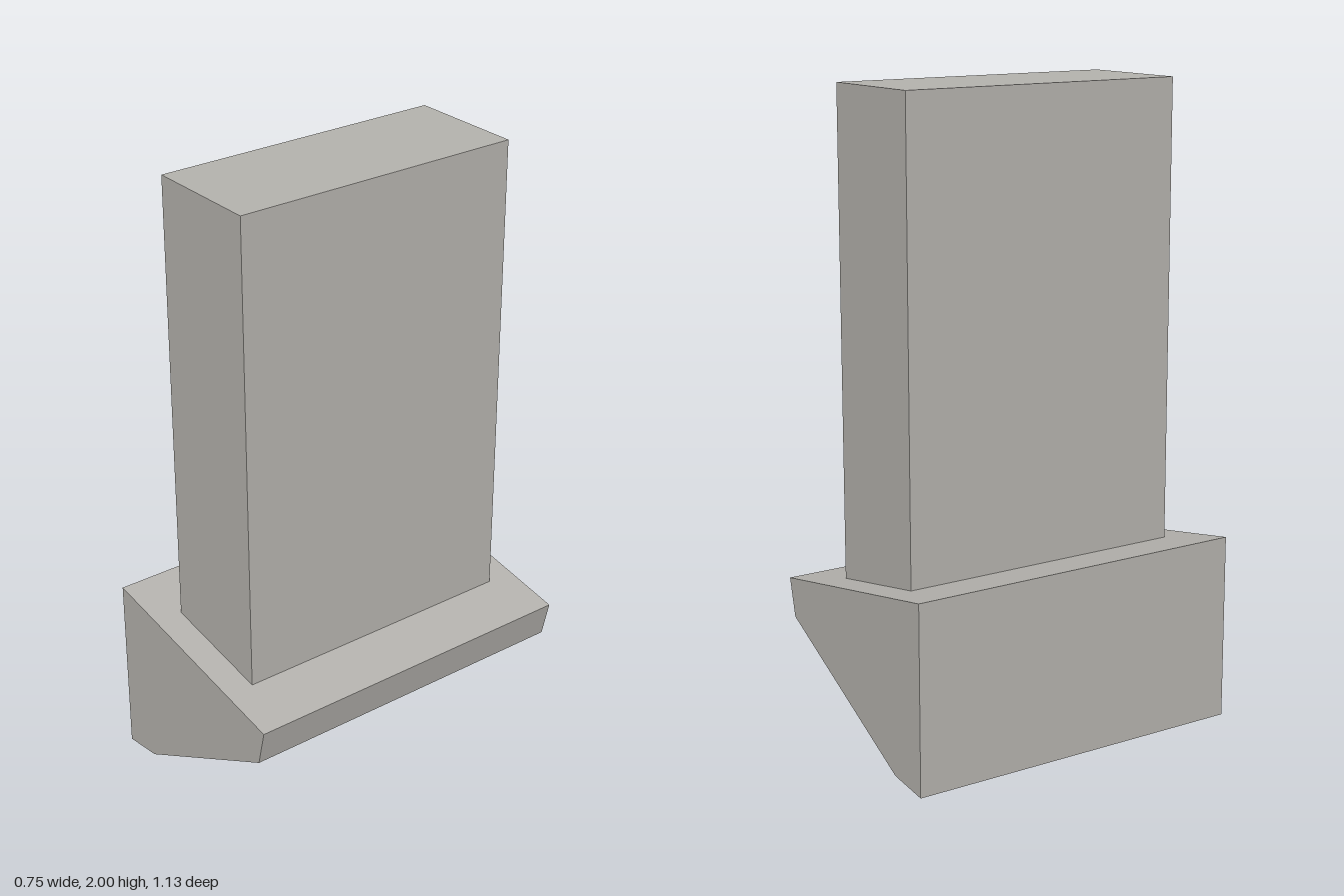
import * as THREE from 'three';

export function createModel() {
  const group = new THREE.Group();
  const stone = new THREE.MeshStandardMaterial({ color: 0xb4b2ad });
  stone.name = 'warm grey';

  // Wedge-shaped base: side profile extruded along z
  const depth = 1.13;
  const profile = new THREE.Shape([
    [-0.378, 0], [-0.24, 0.02], [0.348, 0.343], [0.376, 0.463], [-0.378, 0.588],
  ].map(([x, y]) => new THREE.Vector2(x, y)));
  const baseGeometry = new THREE.ExtrudeGeometry(profile, { depth, bevelEnabled: false });
  baseGeometry.translate(0, 0, -depth / 2);
  const base = new THREE.Mesh(baseGeometry, stone);
  base.name = 'wedgeBase';

  // Upright block, its foot sunk into the sloping top of the base
  const bottom = 0.492, top = 2;
  const shaft = new THREE.Mesh(new THREE.BoxGeometry(0.378, top - bottom, 0.945), stone);
  shaft.position.y = (top + bottom) / 2;
  shaft.name = 'uprightShaft';

  group.add(base, shaft);
  return group;
}
